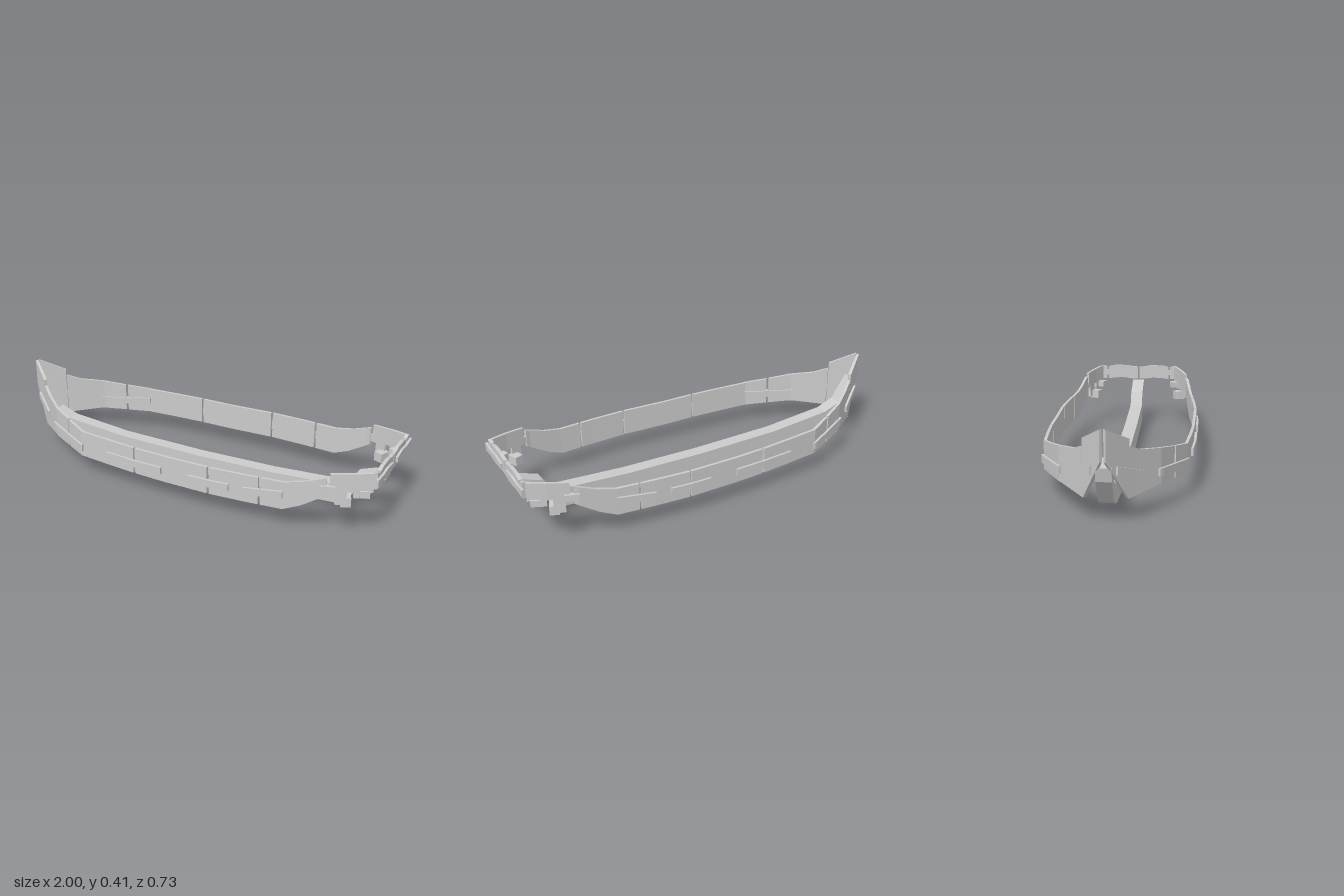
import * as THREE from 'three';

const material = new THREE.MeshStandardMaterial({ color: 0xcccccc, flatShading: true });

// Rule curves of the hull: half-breadth, sheer (top edge) and lower edge along x.
const BREADTH = [[-1, 0.012], [-0.855, 0.117], [-0.72, 0.217], [-0.6, 0.273], [-0.49, 0.322], [-0.32, 0.337],
  [-0.165, 0.348], [0.24, 0.356], [0.42, 0.345], [0.6, 0.328], [0.77, 0.305], [0.9, 0.262], [0.99, 0.222]];
const SHEER = [[-1, 0.41], [-0.89, 0.32], [-0.82, 0.29], [-0.6, 0.25], [-0.48, 0.232], [0, 0.226], [0.6, 0.235],
  [0.69, 0.255], [0.8, 0.295]];
const LOWER = [[-0.89, 0.1], [-0.735, 0.115], [-0.5, 0.1], [0, 0.093], [0.6, 0.1], [0.68, 0.135], [0.8, 0.21]];

function at(table, x) {
  let i = 0;
  while (i < table.length - 2 && x > table[i + 1][0]) i++;
  const [x0, y0] = table[i], [x1, y1] = table[i + 1];
  return y0 + (y1 - y0) * (x - x0) / (x1 - x0);
}

// Solid band following the hull side from x0 to x1; side is +1 (front) or -1 (back).
function band(name, side, x0, x1, low, high, offset = 0, thick = 0.014) {
  const xs = [x0, ...BREADTH.concat(SHEER, LOWER).map(p => p[0]).filter(x => x > x0 + 0.004 && x < x1 - 0.004), x1];
  const stations = [...new Set(xs)].sort((a, b) => a - b);
  const loops = stations.map(x => {
    const slope = (at(BREADTH, x + 0.01) - at(BREADTH, x - 0.01)) / 0.02;
    const len = Math.hypot(1, slope);
    const point = (d, y) => [x - slope / len * d, y, side * Math.max(0.003, at(BREADTH, x) + d / len)];
    const y0 = low(x), y1 = high(x);
    return [point(offset, y0), point(offset, y1), point(offset - thick, y1), point(offset - thick, y0)];
  });
  const pos = [];
  const quad = (a, b, c, d) => {
    const q = side > 0 ? [a, b, c, a, c, d] : [a, c, b, a, d, c];
    q.forEach(p => pos.push(...p));
  };
  for (let i = 0; i < loops.length - 1; i++) {
    const a = loops[i], b = loops[i + 1];
    for (let k = 0; k < 4; k++) quad(a[k], b[k], b[(k + 1) % 4], a[(k + 1) % 4]);
  }
  quad(...loops[0]);
  quad(...loops[loops.length - 1].slice().reverse());
  const geo = new THREE.BufferGeometry();
  geo.setAttribute('position', new THREE.Float32BufferAttribute(pos, 3));
  geo.computeVertexNormals();
  return named(name, geo);
}

function named(name, geo) {
  const mesh = new THREE.Mesh(geo, material);
  mesh.name = name;
  return mesh;
}

function extruded(name, points, depth) {
  const shape = new THREE.Shape(points.map(p => new THREE.Vector2(...p)));
  return named(name, new THREE.ExtrudeGeometry(shape, { depth, bevelEnabled: false }));
}

// Cross-ship plate: outline is [z, y], placed between x and x + depth.
function crossPlate(name, side, points, x, depth) {
  const mesh = extruded(name, points.map(([z, y]) => [-side * z, y]), depth);
  mesh.rotation.y = Math.PI / 2;
  mesh.position.x = x;
  return mesh;
}

export function createModel() {
  const model = new THREE.Group();
  model.name = 'boatFrame';
  const sheer = x => at(SHEER, x);
  const lower = x => at(LOWER, x);

  // Keel with rising stem and sternpost
  const keel = extruded('keel', [
    [-0.975, 0.25], [-0.96, 0.19], [-0.87, 0.08], [-0.77, 0.04], [-0.5, 0.012], [-0.38, 0.002], [0, 0],
    [0.36, 0.003], [0.6, 0.018], [0.78, 0.028], [0.84, 0.12], [0.972, 0.205], [0.972, 0.245], [0.83, 0.195],
    [0.78, 0.125], [0.4, 0.102], [0, 0.094], [-0.45, 0.1], [-0.78, 0.13], [-0.87, 0.165], [-0.955, 0.29]], 0.066);
  keel.position.z = -0.033;
  model.add(keel);

  for (const side of [1, -1]) {
    const half = new THREE.Group();
    half.name = side > 0 ? 'frontSide' : 'backSide';
    model.add(half);

    // Bow plate
    half.add(band('bowPlate', side, -1, -0.885,
      x => at([[-1, 0.28], [-0.985, 0.225], [-0.885, 0.098]], x),
      x => at([[-1, 0.413], [-0.885, 0.35]], x), 0, 0.016));

    // Side planks with narrow gaps
    [[-0.883, -0.61], [-0.6, -0.17], [-0.16, 0.235], [0.245, 0.485], [0.495, 0.79]]
      .forEach(([a, b]) => half.add(band('sidePlank', side, a, b, lower, sheer)));

    // Cleats bridging the gaps
    for (const [a, b, ya, yb] of [[-0.735, -0.48, 0.17, 0.148], [-0.33, -0.01, 0.15, 0.15],
      [0.135, 0.345, 0.15, 0.155], [0.415, 0.6, 0.155, 0.175], [-0.95, -0.82, 0.235, 0.185]]) {
      const mid = x => ya + (yb - ya) * (x - a) / (b - a);
      half.add(band('cleat', side, a, b, x => mid(x) - 0.018, x => mid(x) + 0.018, 0.011, 0.012));
    }
    half.add(band('innerCleat', side, -0.735, -0.48, x => 0.145, x => 0.18, -0.013, 0.008));

    // Stern quarter plate with stepped lower edge
    half.add(band('quarterPlate', side, 0.803, 0.978, x => 0.235, x => 0.31 + (x - 0.8) * 0.1));
    half.add(band('quarterHook', side, 0.765, 0.83, x => 0.222, x => 0.255, 0.01, 0.02));
    half.add(band('quarterTab', side, 0.825, 0.875, x => 0.165, x => 0.24));
    half.add(band('quarterTab', side, 0.9, 0.955, x => 0.205, x => 0.24));

    // Lugs turned inward
    for (const [x, y, z, h] of [[0.862, 0.178, 0.245, 0.045], [0.937, 0.226, 0.224, 0.032]]) {
      const lug = named('quarterLug', new THREE.BoxGeometry(0.045, h, 0.055));
      lug.position.set(x, y, side * z);
      lug.rotation.y = side * 0.4;
      half.add(lug);
    }

    // Transom plates and cleat
    half.add(crossPlate('transomPlate', side, [[0.004, 0.25], [0.03, 0.25], [0.09, 0.258], [0.14, 0.256],
      [0.18, 0.25], [0.18, 0.322], [0.14, 0.331], [0.07, 0.331], [0.03, 0.323], [0.004, 0.323]], 0.972, 0.017));
    half.add(crossPlate('transomEnd', side, [[0.19, 0.25], [0.22, 0.25], [0.222, 0.33], [0.19, 0.322]], 0.972, 0.017));
    half.add(crossPlate('transomCleat', side, [[0.03, 0.272], [0.1, 0.266], [0.17, 0.272], [0.238, 0.267],
      [0.24, 0.306], [0.17, 0.3], [0.1, 0.306], [0.03, 0.298]], 0.988, 0.012));
  }
  return model;
}
